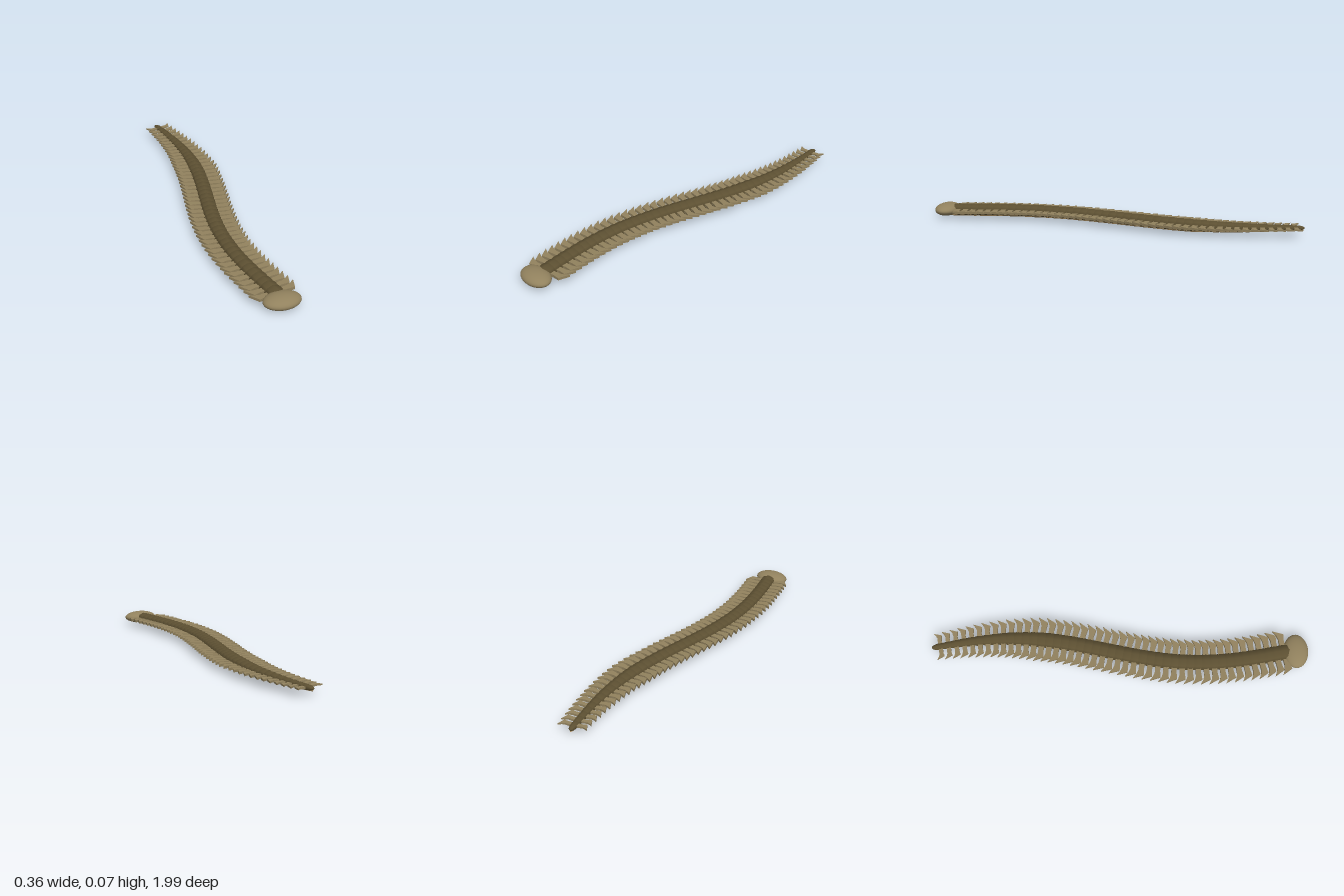
import * as THREE from 'three';

const SEGMENTS = 45;
const MID_Y = 0.034;

// Gentle S-curve of the body, t = 0 behind the head, 1 at the tail
const spine = (t) => new THREE.Vector3(-0.061 * Math.sin(2 * Math.PI * t * 0.97), MID_Y, 0.87 - 1.815 * t);
const heading = (t) => {
  const d = spine(t - 0.005).sub(spine(t + 0.005));
  return Math.atan2(d.x, d.z);
};
const tail = (t) => Math.max(0, (t - 0.7) / 0.3);
const taper = (t, end) => 1 - (1 - end) * tail(t);

// Flat flap that widens outward into a point swept backward
function flapGeometry(side) {
  const outline = [[0.02, -0.016], [0.06, -0.015], [0.097, -0.021], [0.123, 0.032], [0.098, 0.018], [0.075, 0.012], [0.02, 0.013]];
  const shape = new THREE.Shape(outline.map(([out, back]) => new THREE.Vector2(out * side, back)));
  const geo = new THREE.ExtrudeGeometry(shape, { depth: 1, bevelEnabled: false });
  geo.rotateX(-Math.PI / 2);
  // Thinner and slightly raised toward the tip
  const p = geo.attributes.position;
  for (let i = 0; i < p.count; i++) {
    const k = Math.abs(p.getX(i)) / 0.123;
    p.setY(i, p.getY(i) > 0.5 ? 0.008 + 0.005 * k : -0.011 + 0.012 * k);
  }
  geo.computeVertexNormals();
  return geo;
}

export function createModel() {
  const model = new THREE.Group();
  model.name = 'segmentedWorm';
  const material = (name, color) => {
    const m = new THREE.MeshStandardMaterial({ color });
    m.name = name;
    return m;
  };
  const bodyBrown = material('dark olive brown', 0x5d5032);
  const paleTan = material('pale tan', 0x92825e);
  const bellyTan = material('warm belly tan', 0xa88d62);

  const addPart = (parent, name, geo, mat) => {
    const mesh = new THREE.Mesh(geo, mat);
    mesh.name = name;
    parent.add(mesh);
    return mesh;
  };

  // Head
  const head = addPart(model, 'head', new THREE.SphereGeometry(1, 32, 20), paleTan);
  head.scale.set(0.093, 0.033, 0.065);
  head.position.set(0.007, 0.036, 0.935);

  // Overlapping body rings, each with a belly plate and a pair of flaps
  const ringGeo = new THREE.SphereGeometry(1, 8, 10).rotateX(Math.PI / 2);
  const bellyGeo = new THREE.SphereGeometry(1, 12, 8).rotateX(Math.PI / 2);
  const flaps = { left: flapGeometry(1), right: flapGeometry(-1) };
  for (let i = 0; i < SEGMENTS; i++) {
    const t = i / (SEGMENTS - 1);
    const segment = new THREE.Group();
    segment.name = 'segment' + (i + 1);
    segment.position.copy(spine(t));
    segment.position.y += 0.004 * tail(t);
    segment.rotation.y = heading(t);

    const r = taper(t, 0.42);
    const ring = addPart(segment, 'bodyRing', ringGeo, bodyBrown);
    ring.scale.set(0.045 * r, 0.034 * r, 0.035 + 0.025 * r);

    const belly = addPart(segment, 'bellyPlate', bellyGeo, bellyTan);
    belly.scale.set(0.026 * r, 0.009 * r, 0.03 + 0.03 * r);
    belly.position.y = -0.0255 * r;

    for (const side of ['left', 'right']) {
      const flap = addPart(segment, side + 'Flap', flaps[side], paleTan);
      const s = taper(t, 0.6);
      flap.scale.set(s, s, 0.4 + 0.6 * s);
    }
    model.add(segment);
  }
  return model;
}
